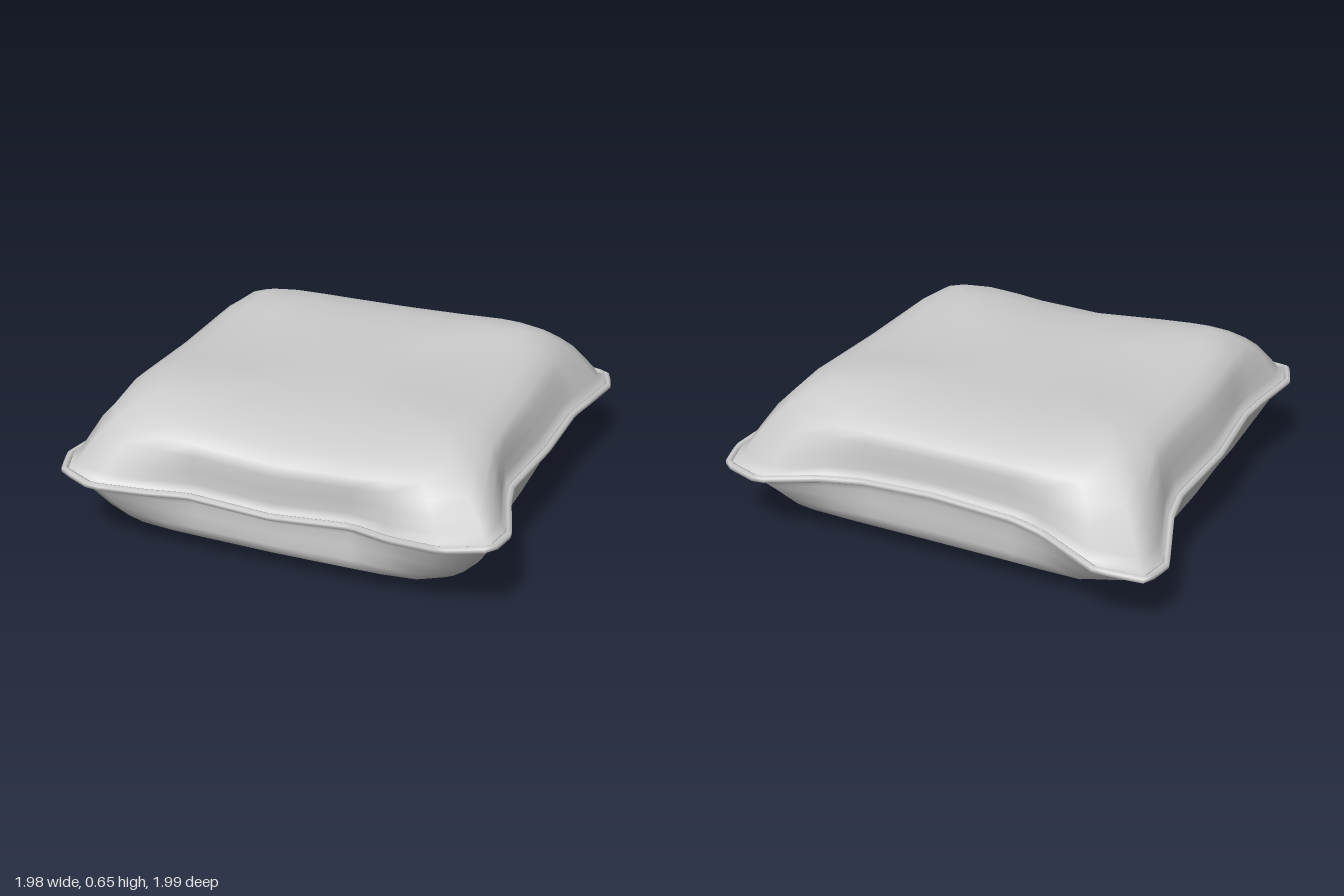
import * as THREE from 'three';

// Seam loop seen from above, counterclockwise from the front left of the plan: x, y, z
const SEAM = [
  [-0.94, 0.36, 0.80], [-0.89, 0.36, 0.935], [-0.74, 0.345, 0.99], [-0.52, 0.32, 0.92],
  [-0.36, 0.31, 0.87], [0, 0.285, 0.86], [0.34, 0.305, 0.845], [0.52, 0.32, 0.905],
  [0.75, 0.36, 0.97], [0.94, 0.385, 0.93], [0.97, 0.385, 0.80], [0.89, 0.355, 0.53],
  [0.86, 0.35, 0.38], [0.905, 0.345, 0], [0.92, 0.34, -0.38], [0.95, 0.335, -0.53],
  [0.985, 0.31, -0.80], [0.94, 0.30, -0.94], [0.75, 0.30, -1.0], [0.51, 0.32, -0.915],
  [0.32, 0.33, -0.875], [0, 0.34, -0.865], [-0.37, 0.33, -0.875], [-0.51, 0.31, -0.89],
  [-0.77, 0.27, -0.98], [-0.96, 0.25, -0.935], [-0.99, 0.25, -0.80], [-0.90, 0.30, -0.53],
  [-0.88, 0.32, -0.38], [-0.91, 0.34, 0], [-0.885, 0.35, 0.38], [-0.90, 0.355, 0.53],
].map(([x, y, z]) => new THREE.Vector3(x * 0.99, y, z * 0.99));

// Profiles: [scale toward the centre, share of the way from seam to face]
const TOP = [[1, 0], [0.97, 0.05], [0.955, 0.17], [0.93, 0.38], [0.9, 0.62], [0.86, 0.79],
  [0.79, 0.92], [0.7, 0.98], [0.55, 1], [0.35, 1], [0.18, 1], [0, 1]];
const BOTTOM = [[1, 0], [0.97, 0.06], [0.955, 0.19], [0.93, 0.4], [0.9, 0.65], [0.86, 0.82],
  [0.81, 0.92], [0.7, 0.97], [0.55, 0.985], [0.35, 1], [0.18, 0.98], [0, 0.96]];

const { lerp, smoothstep } = THREE.MathUtils;
const bump = (x, z, cx, cz, r) => Math.exp(-((x - cx) ** 2 + (z - cz) ** 2) / (r * r));

// Plump upper face: raised toward the corners, falling to the front and back
const topHeight = (x, z) => 0.622
  + 0.035 * bump(x, z, -0.62, 0.46, 0.28) + 0.03 * bump(x, z, 0.55, 0.46, 0.25)
  + 0.03 * bump(x, z, 0.5, -0.52, 0.25) + 0.025 * bump(x, z, -0.6, -0.5, 0.25)
  - 0.03 * bump(x, z, 0.1, 0.78, 0.3)
  - 0.04 * smoothstep(Math.abs(z), 0.5, 0.85);

// Underside curling up to the front and back
const bottomHeight = (x, z) => 0.004 + 0.06 * smoothstep(Math.abs(z), 0.45, 0.9);

// Loft the seam inward into one half of the cushion; past the pinched rim
// the rings ease into a rounded rectangle of half size hx by hz
function shell(profile, height, hx, hz, flip) {
  const n = SEAM.length, pos = [], index = [];
  const tri = (a, b, c) => (flip ? index.push(a, c, b) : index.push(a, b, c));
  const rings = profile.slice(0, -1);
  for (const [s, t] of rings) {
    const k = smoothstep(1 - s, 0.02, 0.15);
    for (const p of SEAM) {
      const round = (Math.abs(p.x / hx) ** 9 + Math.abs(p.z / hz) ** 9) ** (-1 / 9);
      const f = s * lerp(1, round, k);
      const x = p.x * f, z = p.z * f;
      pos.push(x, lerp(p.y, height(x, z), t), z);
    }
  }
  const centre = rings.length * n;
  pos.push(0, lerp(0.33, height(0, 0), profile.at(-1)[1]), 0);
  for (let r = 0; r < rings.length; r++) {
    for (let i = 0; i < n; i++) {
      const a = r * n + i, b = r * n + (i + 1) % n;
      if (r === rings.length - 1) tri(a, b, centre);
      else {
        tri(a, b, b + n);
        tri(a, b + n, a + n);
      }
    }
  }
  const g = new THREE.BufferGeometry();
  g.setAttribute('position', new THREE.Float32BufferAttribute(pos, 3));
  g.setIndex(index);
  g.computeVertexNormals();
  return g;
}

export function createModel() {
  const model = new THREE.Group();
  model.name = 'cushion';
  const material = new THREE.MeshStandardMaterial({ color: 0xcccccc });
  const add = (name, geometry) => {
    const mesh = new THREE.Mesh(geometry, material);
    mesh.name = name;
    model.add(mesh);
  };

  add('upperCover', shell(TOP, topHeight, 0.92, 0.95, false));
  add('lowerCover', shell(BOTTOM, bottomHeight, 0.88, 0.95, true));

  // Piping sewn around the seam
  const path = new THREE.CatmullRomCurve3(SEAM, true, 'catmullrom', 0.05);
  add('piping', new THREE.TubeGeometry(path, 160, 0.016, 6, true));

  return model;
}
